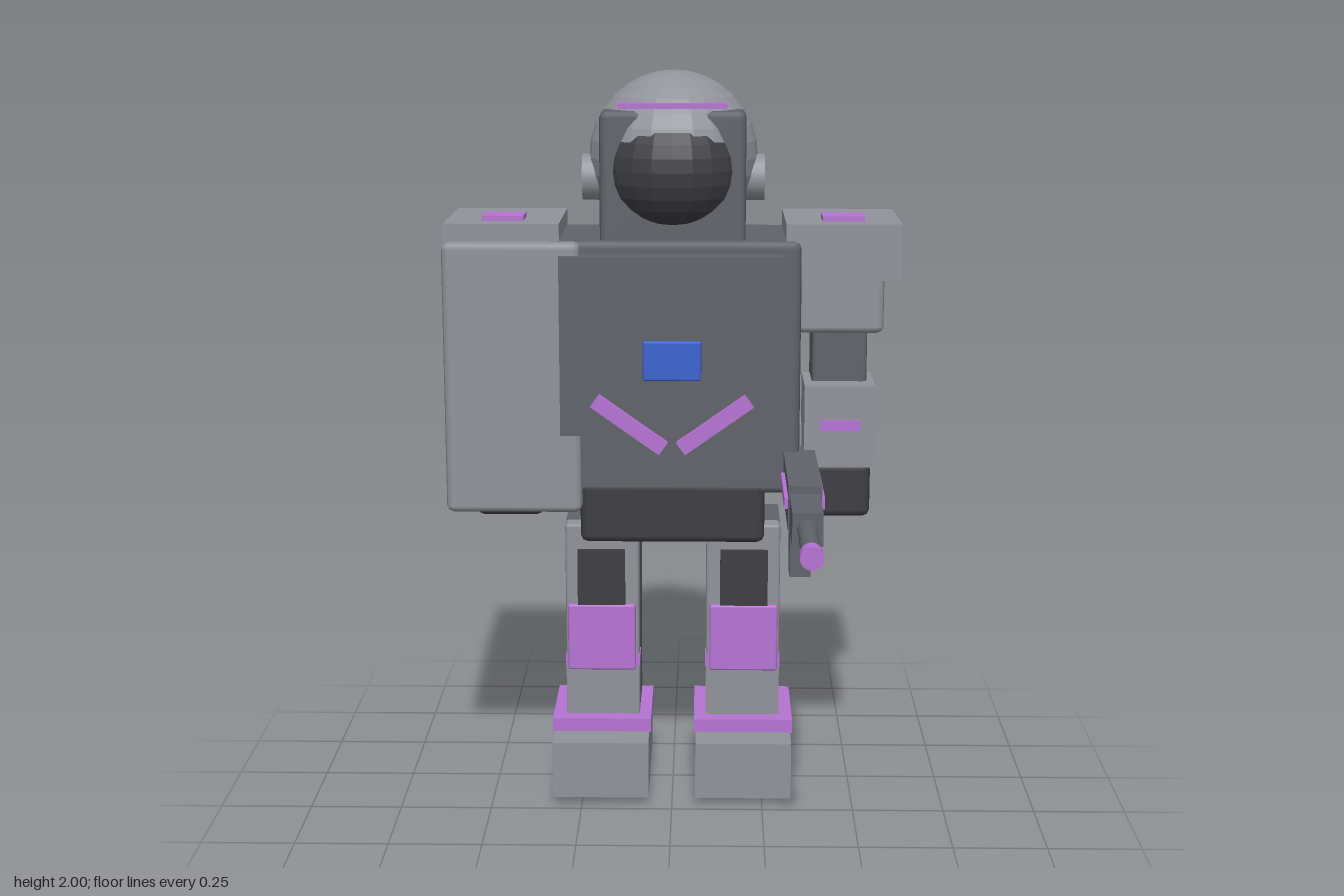
import * as THREE from 'three';
import { RoundedBoxGeometry } from 'three/addons/geometries/RoundedBoxGeometry.js';

function makeMaterial(name, color) {
  const m = new THREE.MeshStandardMaterial({ color });
  m.name = name;
  return m;
}

export function createModel() {
  const light = makeMaterial('light grey armour', 0x90939a);
  const dark = makeMaterial('dark grey frame', 0x60636a);
  const black = makeMaterial('charcoal', 0x3e3e42);
  const purple = makeMaterial('purple trim', 0xb574d4);
  const blue = makeMaterial('blue emblem', 0x3c62d0);

  const model = new THREE.Group();
  model.name = 'robot';

  function add(parent, name, geometry, material) {
    const mesh = new THREE.Mesh(geometry, material);
    mesh.name = name;
    parent.add(mesh);
    return mesh;
  }

  // Box given by its [min, max] on each axis, with an optional bevel
  function box(parent, name, material, [x0, x1], [y0, y1], [z0, z1], bevel = 0) {
    const size = [x1 - x0, y1 - y0, z1 - z0];
    const geometry = bevel
      ? new RoundedBoxGeometry(...size, 1, bevel)
      : new THREE.BoxGeometry(...size);
    const mesh = add(parent, name, geometry, material);
    mesh.position.set((x0 + x1) / 2, (y0 + y1) / 2, (z0 + z1) / 2);
    return mesh;
  }

  // Faceted ellipsoid
  function dome(parent, name, material, position, radii) {
    const geometry = new THREE.SphereGeometry(1, 24, 16).scale(...radii).toNonIndexed();
    geometry.computeVertexNormals();
    const mesh = add(parent, name, geometry, material);
    mesh.position.set(...position);
    return mesh;
  }

  function group(name) {
    const g = new THREE.Group();
    g.name = name;
    model.add(g);
    return g;
  }

  // Head: domed helmet bulging through a square collar
  const head = group('head');
  box(head, 'collar', dark, [-0.195, 0.195], [1.54, 1.9], [-0.475, -0.148], 0.018);
  dome(head, 'helmet', light, [0, 1.768, -0.33], [0.23, 0.232, 0.24]);
  dome(head, 'visor', black, [0, 1.745, -0.29], [0.21, 0.19, 0.22]);
  box(head, 'browBand', purple, [-0.145, 0.145], [1.908, 1.922], [-0.2, -0.135]);
  for (const s of [-1, 1]) {
    const ear = add(head, 'earDisc', new THREE.CylinderGeometry(0.063, 0.063, 0.07, 20), light);
    ear.rotation.z = Math.PI / 2;
    ear.position.set(s * 0.212, 1.713, -0.31);
  }

  // Torso
  const torso = group('torso');
  box(torso, 'body', dark, [-0.345, 0.345], [0.87, 1.56], [-0.51, -0.12], 0.02);
  box(torso, 'chestPlate', dark, [-0.3, 0.3], [1.045, 1.528], [-0.14, -0.055]);
  box(torso, 'pelvis', black, [-0.252, 0.252], [0.73, 0.9], [-0.47, -0.118], 0.02);
  box(torso, 'emblem', blue, [-0.078, 0.078], [1.198, 1.305], [-0.06, -0.042], 0.006);
  box(torso, 'backpack', light, [-0.243, 0.243], [0.985, 1.495], [-0.708, -0.5]);
  for (const s of [-1, 1]) {
    const bar = add(torso, 'chevronBar', new THREE.BoxGeometry(0.225, 0.04, 0.026), purple);
    bar.position.set(s * 0.115, 1.08, -0.046);
    bar.rotation.z = s * 0.62;
  }

  for (const s of [-1, 1]) {
    const side = s > 0 ? 'left' : 'right';
    const span = (a, b) => (s > 0 ? [a, b] : [-b, -a]);

    // Arm
    const arm = group(side + 'Arm');
    box(arm, 'shoulderPad', light, span(0.303, 0.612), [1.455, 1.605], [-0.495, -0.138]);
    box(arm, 'shoulderMark', purple, span(0.402, 0.515), [1.605, 1.619], [-0.295, -0.2]);
    box(arm, 'upperArmArmour', light, span(0.335, 0.57), [1.305, 1.47], [-0.442, -0.17], 0.018);
    box(arm, 'armCore', dark, span(0.38, 0.53), [0.92, 1.32], [-0.385, -0.22], 0.01);
    box(arm, 'forearmPad', light, span(0.358, 0.55), [0.94, 1.165], [-0.352, -0.146]);
    box(arm, 'forearmMark', purple, span(0.402, 0.51), [1.042, 1.072], [-0.147, -0.139]);
    box(arm, 'hand', black, span(0.358, 0.543), [0.79, 0.942], [-0.39, -0.178], 0.02);

    // Leg
    const leg = group(side + 'Leg');
    box(leg, 'legCore', dark, span(0.093, 0.298), [0.18, 0.768], [-0.405, -0.233]);
    box(leg, 'thighArmour', light, span(0.093, 0.298), [0.36, 0.768], [-0.235, -0.172], 0.008);
    box(leg, 'shinArmour', light, span(0.093, 0.298), [0.18, 0.36], [-0.24, -0.17]);
    box(leg, 'thighInset', black, span(0.132, 0.264), [0.53, 0.698], [-0.175, -0.16]);
    box(leg, 'kneePlate', purple, span(0.103, 0.292), [0.35, 0.54], [-0.18, -0.156], 0.006);
    box(leg, 'kneeStrap', purple, span(0.091, 0.3), [0.358, 0.392], [-0.235, -0.17]);
    box(leg, 'ankleBand', purple, span(0.06, 0.335), [0.178, 0.217], [-0.405, -0.125]);
    box(leg, 'foot', light, span(0.065, 0.33), [0.02, 0.18], [-0.45, -0.032]);
    box(leg, 'sole', black, span(0.078, 0.316), [0, 0.06], [-0.445, -0.085], 0.014);
  }

  // Shield carried in front of the right arm
  box(model, 'shield', light, [-0.613, -0.245], [0.825, 1.56], [-0.142, -0.075], 0.018);

  // Block on the left hip
  box(model, 'hipBlock', light, [0.3, 0.375], [0.85, 1.025], [-0.42, -0.3]);

  // Rifle held at the left hand
  const rifle = group('rifle');
  box(rifle, 'receiver', dark, [0.302, 0.388], [0.868, 0.988], [-0.2, 0.257]);
  box(rifle, 'foreEnd', dark, [0.305, 0.382], [0.882, 0.968], [0.25, 0.447]);
  box(rifle, 'magazine', dark, [0.314, 0.37], [0.697, 0.875], [0.003, 0.086]);
  box(rifle, 'sideStripe', purple, [0.292, 0.396], [0.925, 0.955], [-0.025, 0.247]);
  const barrelParts = [
    ['barrel', 0.025, 0.44, 0.68, dark],
    ['muzzle', 0.029, 0.668, 0.708, purple],
  ];
  for (const [name, r, z0, z1, material] of barrelParts) {
    const tube = add(rifle, name, new THREE.CylinderGeometry(r, r, z1 - z0, 16), material);
    tube.rotation.x = Math.PI / 2;
    tube.position.set(0.342, 0.926, (z0 + z1) / 2);
  }

  return model;
}
